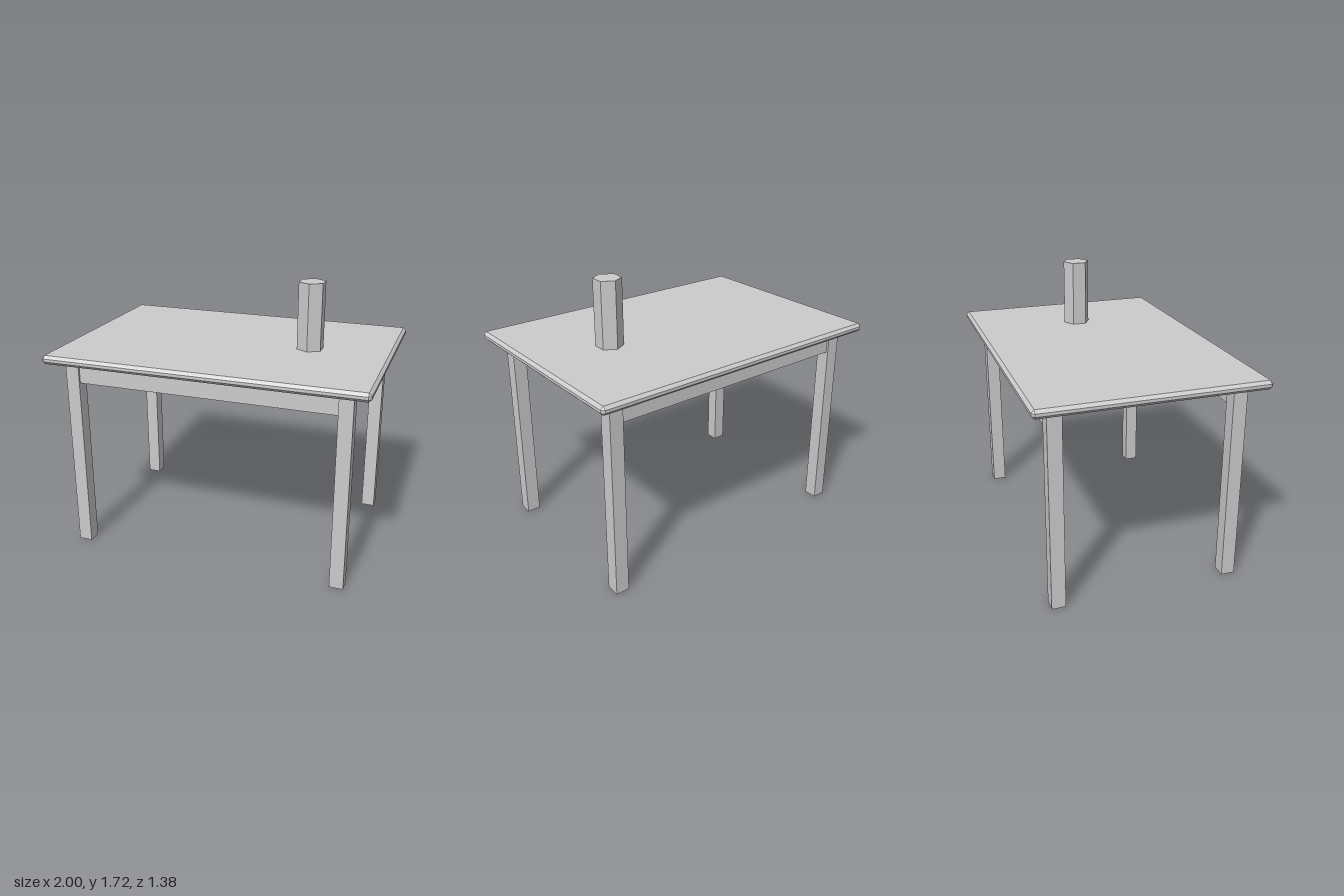
import * as THREE from 'three';
import { ConvexGeometry } from 'three/addons/geometries/ConvexGeometry.js';

const grey = new THREE.MeshStandardMaterial({ color: 0xcccccc, flatShading: true });
const greyOpen = new THREE.MeshStandardMaterial({ color: 0xcccccc, flatShading: true, side: THREE.DoubleSide });

// Box with every edge and corner chamfered by b
function chamferedBox(w, h, d, b) {
  const [x, y, z] = [w / 2, h / 2, d / 2];
  const points = [];
  for (const i of [-1, 1]) for (const j of [-1, 1]) for (const k of [-1, 1]) {
    points.push(
      new THREE.Vector3(i * x, j * (y - b), k * (z - b)),
      new THREE.Vector3(i * (x - b), j * y, k * (z - b)),
      new THREE.Vector3(i * (x - b), j * (y - b), k * z)
    );
  }
  return new ConvexGeometry(points);
}

export function createModel() {
  const model = new THREE.Group();
  model.name = 'table';

  const add = (name, geometry, material, x, y, z) => {
    const mesh = new THREE.Mesh(geometry, material);
    mesh.name = name;
    mesh.position.set(x, y, z);
    model.add(mesh);
  };

  const under = 1.246, top = 1.3;
  const legX = 0.85, legZ = 0.545, legW = 0.086;

  // Table top
  add('tableTop', chamferedBox(2, top - under, 1.38, 0.018), grey, 0, (under + top) / 2, 0);

  // Square legs, open at the ends
  const legGeometry = new THREE.CylinderGeometry(legW / Math.SQRT2, legW / Math.SQRT2, under, 4, 1, true);
  legGeometry.rotateY(Math.PI / 4);
  for (const [side, sx] of [['left', 1], ['right', -1]]) {
    for (const [end, sz] of [['Front', 1], ['Back', -1]]) {
      add(`${side}${end}Leg`, legGeometry, greyOpen, sx * legX, under / 2, sz * legZ);
    }
  }

  // Rails between the legs along both long sides
  const railH = 0.136;
  const railGeometry = new THREE.BoxGeometry(2 * legX - legW, railH, 0.06);
  add('frontRail', railGeometry, grey, 0, under - railH / 2, legZ);
  add('backRail', railGeometry, grey, 0, under - railH / 2, -legZ);

  // Hexagonal vessel standing on the top
  const vesselH = 0.42;
  add('vessel', new THREE.CylinderGeometry(0.086, 0.086, vesselH, 6), grey, 0.497, top + vesselH / 2, 0);

  return model;
}
